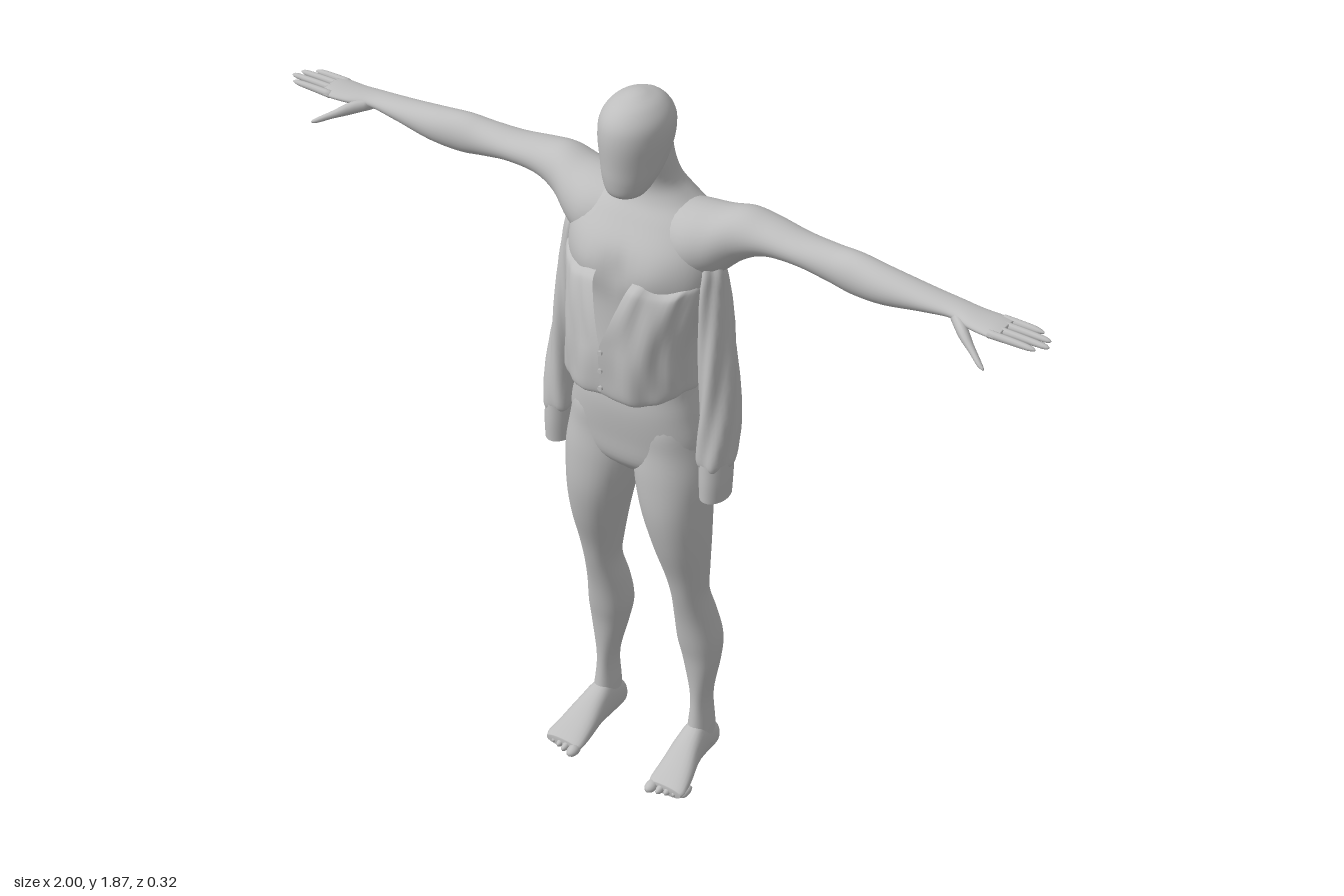
import * as THREE from 'three';

const grey = new THREE.MeshStandardMaterial({ color: 0xbebebe, side: THREE.DoubleSide });
grey.name = 'grey';

// Axis order per loft direction: [along, across a, across b], keeps faces outward
const AXES = { y: [1, 0, 2], x: [0, 2, 1], z: [2, 1, 0] };

const cubic = (p0, p1, p2, p3, t) => 0.5 * (2 * p1 + (p2 - p0) * t +
  (2 * p0 - 5 * p1 + 4 * p2 - p3) * t * t + (3 * p1 - p0 - 3 * p2 + p3) * t * t * t);
const bump = (v, centre, width) => Math.exp(-(((v - centre) / width) ** 2));

// Smooth skin over rows of [position, aMin, aMax, bMin, bMax]
function loft(axis, rows, { power = 2, sides = 32, steps = 5, caps = true, split = false, tweak } = {}) {
  const order = AXES[axis], pos = [], index = [];
  const at = i => rows[Math.max(0, Math.min(rows.length - 1, i))];
  const rings = (rows.length - 1) * steps + 1;
  const cols = split ? sides + 1 : sides;
  for (let r = 0; r < rings; r++) {
    const i = Math.min(Math.floor(r / steps), rows.length - 2), t = r / steps - i;
    const [u, a0, a1, b0, b1] = rows[0].map((_, k) =>
      cubic(at(i - 1)[k], at(i)[k], at(i + 1)[k], at(i + 2)[k], t));
    for (let j = 0; j < cols; j++) {
      const ang = (j / sides) * Math.PI * 2 + Math.PI / 2;
      const c = Math.cos(ang), s = Math.sin(ang);
      const p = [0, 0, 0];
      p[order[0]] = u;
      p[order[1]] = (a0 + a1) / 2 + (a1 - a0) / 2 * Math.sign(c) * Math.abs(c) ** (2 / power);
      p[order[2]] = (b0 + b1) / 2 + (b1 - b0) / 2 * Math.sign(s) * Math.abs(s) ** (2 / power);
      if (tweak) tweak(p, ang, j < sides / 2 ? -1 : 1);
      pos.push(...p);
      if (r === rings - 1 || (split && j === sides)) continue;
      const k = (j + 1) % cols, a = r * cols + j, b = r * cols + k;
      index.push(a, a + cols, b, b, a + cols, b + cols);
    }
  }
  if (caps) for (const r of [0, rings - 1]) {
    const row = r ? rows[rows.length - 1] : rows[0], p = [0, 0, 0], n = pos.length / 3;
    p[order[0]] = row[0];
    p[order[1]] = (row[1] + row[2]) / 2;
    p[order[2]] = (row[3] + row[4]) / 2;
    pos.push(...p);
    for (let j = 0; j < cols; j++) {
      const a = r * cols + j, b = r * cols + (j + 1) % cols;
      if (r) index.push(n, b, a); else index.push(n, a, b);
    }
  }
  const g = new THREE.BufferGeometry();
  g.setAttribute('position', new THREE.Float32BufferAttribute(pos, 3));
  g.setIndex(index);
  g.computeVertexNormals();
  return g;
}

// Rows symmetric about x = 0: [y, halfWidth, zMin, zMax]
const centred = rows => rows.map(([y, w, z0, z1]) => [y, -w, w, z0, z1]);

function mirrorX(geometry) {
  const g = geometry.clone(), ix = g.index.array;
  g.attributes.position.array.forEach((v, i, arr) => { if (i % 3 === 0) arr[i] = -v; });
  for (let i = 0; i < ix.length; i += 3) [ix[i], ix[i + 1]] = [ix[i + 1], ix[i]];
  g.computeVertexNormals();
  return g;
}

export function createModel() {
  const model = new THREE.Group();
  model.name = 'mannequin';
  const add = (name, g) => {
    const m = new THREE.Mesh(g, grey);
    m.name = name;
    model.add(m);
  };
  const pair = (name, g) => { add(name + 'Left', g); add(name + 'Right', mirrorX(g)); };

  // Head with a blank face
  add('head', loft('y', centred([
    [1.636, 0.025, 0.02, 0.075], [1.648, 0.045, -0.005, 0.092], [1.68, 0.06, -0.045, 0.1],
    [1.72, 0.07, -0.08, 0.103], [1.78, 0.079, -0.096, 0.105], [1.82, 0.074, -0.088, 0.096],
    [1.85, 0.052, -0.062, 0.07], [1.866, 0.022, -0.022, 0.032], [1.87, 0.004, 0, 0.01]])));

  // Torso and neck, with a spine groove and chest muscles
  add('torso', loft('y', centred([
    [0.885, 0.05, -0.05, 0.04], [0.93, 0.15, -0.09, 0.078], [1.0, 0.175, -0.105, 0.088],
    [1.08, 0.16, -0.1, 0.095], [1.15, 0.142, -0.085, 0.09], [1.25, 0.14, -0.09, 0.085],
    [1.35, 0.16, -0.13, 0.085], [1.43, 0.185, -0.152, 0.092], [1.5, 0.18, -0.158, 0.08],
    [1.56, 0.15, -0.148, 0.04], [1.6, 0.1, -0.132, 0.012], [1.64, 0.068, -0.112, 0.005],
    [1.7, 0.061, -0.088, 0.02], [1.76, 0.058, -0.08, 0.03]]), {
    power: 2.3, sides: 48,
    tweak: (p, ang) => {
      const s = Math.sin(ang);
      if (s < 0) p[2] += 0.016 * bump(p[0], 0, 0.025) * bump(p[1], 1.42, 0.17);
      else p[2] += s * bump(p[1], 1.45, 0.05) * (0.01 * bump(Math.abs(p[0]), 0.085, 0.05) - 0.008 * bump(p[0], 0, 0.02));
    } }));

  // Arms, from inside the chest out to the palm
  pair('arm', loft('x', [
    [0.04, -0.125, 0.02, 1.47, 1.595], [0.12, -0.148, 0.04, 1.42, 1.602], [0.18, -0.147, 0.025, 1.44, 1.607],
    [0.24, -0.137, -0.005, 1.493, 1.618], [0.3, -0.13, -0.02, 1.523, 1.61], [0.38, -0.12, -0.025, 1.53, 1.6],
    [0.46, -0.115, -0.028, 1.517, 1.6], [0.52, -0.11, -0.025, 1.508, 1.604], [0.6, -0.105, -0.02, 1.514, 1.597],
    [0.7, -0.098, -0.025, 1.535, 1.586], [0.77, -0.093, -0.028, 1.547, 1.58], [0.82, -0.09, -0.012, 1.549, 1.578],
    [0.87, -0.09, -0.004, 1.552, 1.577], [0.895, -0.088, -0.006, 1.556, 1.574]]));

  // Fingers and thumb
  [[-0.08, 0.965], [-0.059, 0.992], [-0.036, 1.0], [-0.013, 0.98]].forEach(([z, tip], i) =>
    pair('finger' + (i + 1), loft('x', [
      [0.87, z - 0.009, z + 0.009, 1.556, 1.575], [0.92, z - 0.008, z + 0.008, 1.558, 1.575],
      [tip - 0.015, z - 0.007, z + 0.007, 1.56, 1.573], [tip, z - 0.002, z + 0.002, 1.564, 1.568]],
    { sides: 10, steps: 3 })));
  pair('thumb', loft('x', [
    [0.77, -0.06, -0.03, 1.545, 1.572], [0.81, -0.03, 0.005, 1.533, 1.566], [0.845, 0, 0.022, 1.522, 1.543],
    [0.875, 0.022, 0.038, 1.51, 1.525], [0.89, 0.034, 0.04, 1.508, 1.514]], { sides: 12, steps: 3 }));

  // Legs, including the buttocks
  pair('leg', loft('y', [
    [0.04, 0.112, 0.168, -0.12, -0.01], [0.1, 0.112, 0.166, -0.115, -0.025], [0.19, 0.115, 0.161, -0.11, -0.035],
    [0.3, 0.09, 0.178, -0.125, -0.03], [0.37, 0.076, 0.183, -0.131, -0.018], [0.45, 0.077, 0.175, -0.112, -0.004],
    [0.53, 0.083, 0.167, -0.086, 0.016], [0.6, 0.072, 0.172, -0.085, 0.034], [0.7, 0.05, 0.18, -0.09, 0.066],
    [0.8, 0.025, 0.185, -0.096, 0.085], [0.9, 0.003, 0.188, -0.108, 0.086], [0.98, 0.001, 0.18, -0.136, 0.08],
    [1.05, 0.006, 0.163, -0.12, 0.078], [1.12, 0.03, 0.13, -0.07, 0.05]], { power: 2.15 }));

  // Feet and toes
  pair('foot', loft('z', [
    [-0.126, 0.02, 0.05, 0.125, 0.15], [-0.112, 0.003, 0.08, 0.111, 0.165], [-0.05, 0.001, 0.115, 0.107, 0.17],
    [0, 0.006, 0.098, 0.104, 0.18], [0.055, 0.001, 0.062, 0.101, 0.195], [0.095, 0.001, 0.04, 0.101, 0.203],
    [0.112, 0.004, 0.03, 0.106, 0.198]], { power: 2.3, sides: 24 }));
  for (let i = 0; i < 5; i++) {
    const r = i ? 0.01 : 0.015, toe = new THREE.SphereGeometry(1, 12, 8);
    toe.scale(r, i ? 0.011 : 0.014, 0.024);
    toe.translate(0.116 + i * 0.019 + (i ? 0.005 : 0), 0.014, 0.113 - i * 0.007);
    pair('toe' + (i + 1), toe);
  }

  // Open-necked shirt, split down the front with rippled cloth
  add('shirtBody', loft('y', centred([
    [1.147, 0.142, -0.112, 0.135], [1.155, 0.154, -0.126, 0.153], [1.2, 0.154, -0.124, 0.157],
    [1.27, 0.154, -0.12, 0.155], [1.35, 0.164, -0.122, 0.14], [1.41, 0.177, -0.132, 0.12],
    [1.43, 0.182, -0.14, 0.105], [1.44, 0.182, -0.145, 0.085]]), {
    power: 2.2, sides: 72, caps: false, split: true,
    tweak: (p, ang, side) => {
      const fold = 1 + 0.018 * Math.sin(ang * 9 + p[1] * 14) + 0.01 * Math.sin(ang * 17 - p[1] * 25);
      p[0] *= fold;
      p[2] *= fold;
      p[1] += 0.006 * Math.sin(ang * 5);
      if (Math.sin(ang) > 0) p[0] += side * Math.max(0, p[1] - 1.29) * 0.32 * bump(p[0], 0, 0.07);
    } }));

  // Buttons
  for (let i = 0; i < 3; i++) {
    const button = new THREE.CylinderGeometry(0.006, 0.006, 0.006, 12);
    button.rotateX(Math.PI / 2);
    button.translate(0.004, 1.18 + i * 0.048, 0.158);
    add('button' + (i + 1), button);
  }

  // Empty hanging sleeves and cuffs
  pair('sleeve', loft('y', [
    [0.965, 0.182, 0.246, -0.045, 0.045], [0.985, 0.172, 0.252, -0.06, 0.05], [1.06, 0.168, 0.252, -0.075, 0.045],
    [1.15, 0.166, 0.244, -0.08, 0.036], [1.3, 0.16, 0.226, -0.08, 0.026], [1.41, 0.155, 0.212, -0.07, 0.02],
    [1.47, 0.15, 0.204, -0.055, 0.01], [1.505, 0.15, 0.18, -0.035, -0.005]], {
    caps: false,
    tweak: (p, ang) => {
      const w = 0.004 * Math.sin(ang * 5 + p[1] * 22);
      p[0] += w * Math.cos(ang);
      p[2] += w * Math.sin(ang);
    } }));
  pair('cuff', loft('y', [
    [0.88, 0.182, 0.248, -0.045, 0.05], [0.93, 0.18, 0.25, -0.048, 0.051], [0.98, 0.178, 0.249, -0.052, 0.049]],
  { caps: false }));

  return model;
}
